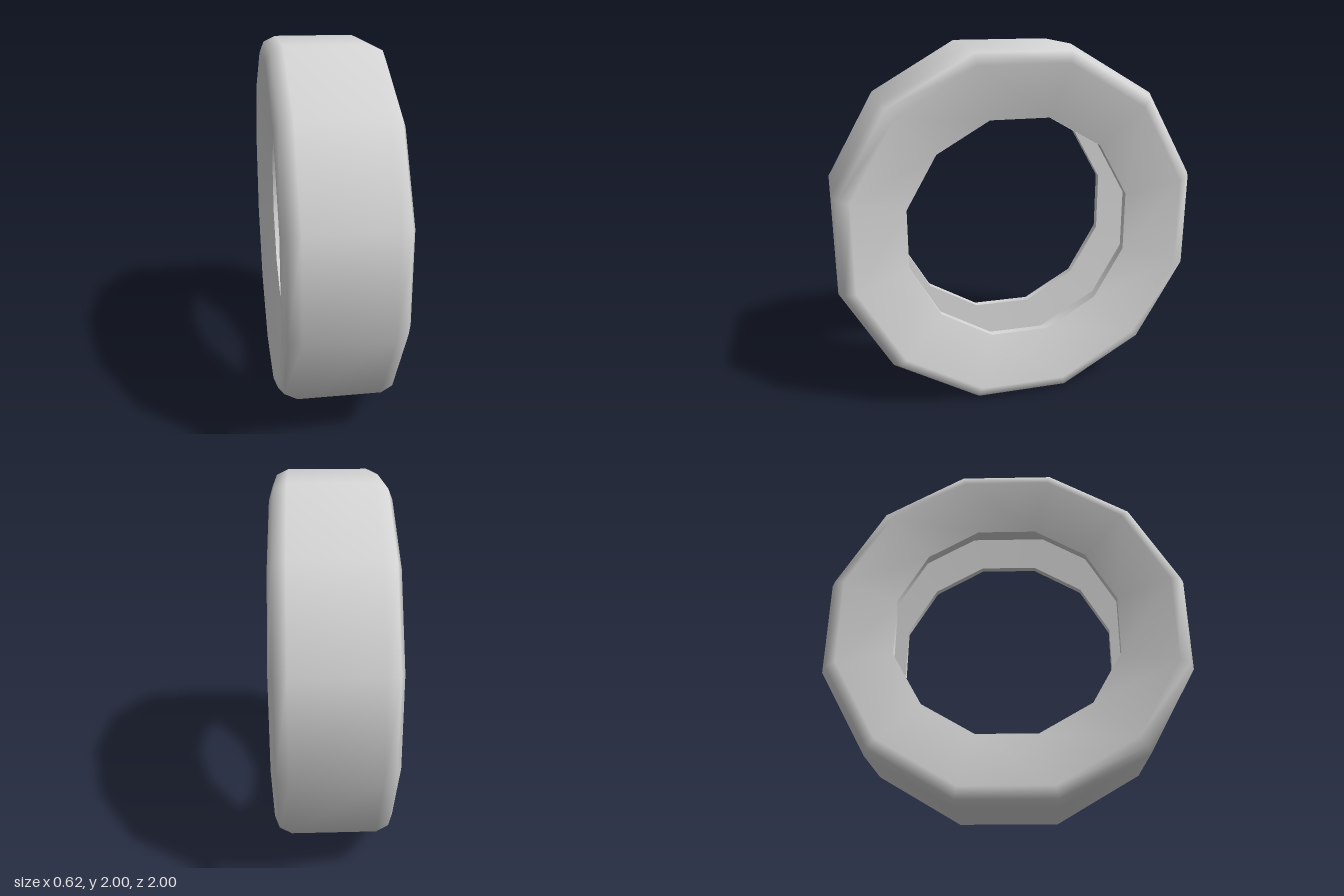
import * as THREE from 'three';

const SIDES = 12;
const TO_VERTEX = 1 / Math.cos(Math.PI / SIDES); // flat-to-centre distance -> corner radius

export function createModel() {
  const group = new THREE.Group();
  group.name = 'tire';
  const rubber = new THREE.MeshStandardMaterial({ color: 0xd6d6d6 });
  rubber.name = 'light grey rubber';

  // Ring swept around the x axis; each profile point is [flat radius, x]
  const ring = (name, profile) => {
    const points = profile.map(([r, x]) => new THREE.Vector2(r * TO_VERTEX, x));
    const geometry = new THREE.LatheGeometry(points, SIDES, Math.PI / SIDES);
    geometry.rotateZ(-Math.PI / 2);
    geometry.translate(0, 1, 0);
    const mesh = new THREE.Mesh(geometry, rubber);
    mesh.name = name;
    group.add(mesh);
  };

  // Slightly dished sidewalls, rounded shoulders and tread in one smooth skin
  const half = [[1, 0.22], [0.97, 0.285], [0.91, 0.31], [0.62, 0.225]];
  const mirrored = half.map(([r, x]) => [r, -x]).reverse();
  ring('treadAndSidewalls', [...mirrored, ...half]);

  // Hollow inside: separate rings keep the edges sharp
  ring('leftLip', [[0.62, 0.225], [0.62, 0.185]]);
  ring('leftInnerWall', [[0.62, 0.185], [0.83, 0.175]]);
  ring('innerFloor', [[0.83, 0.175], [0.83, -0.175]]);
  ring('rightInnerWall', [[0.83, -0.175], [0.62, -0.185]]);
  ring('rightLip', [[0.62, -0.185], [0.62, -0.225]]);

  return group;
}
